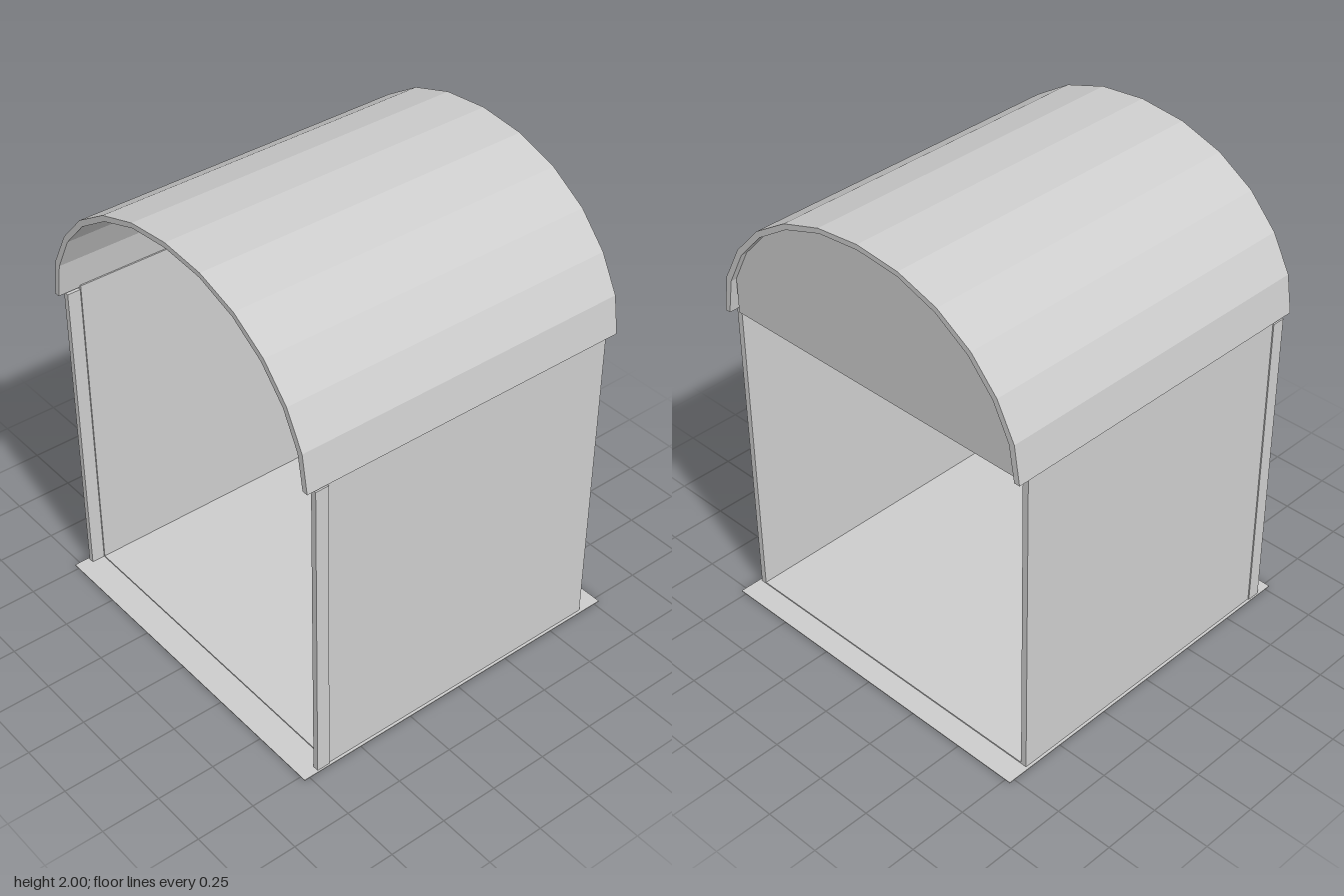
import * as THREE from 'three';

export function createModel() {
  const group = new THREE.Group();
  const grey = new THREE.MeshStandardMaterial({ color: 0xcccccc });
  grey.name = 'lightGrey';

  const add = (name, geometry) => {
    const mesh = new THREE.Mesh(geometry, grey);
    mesh.name = name;
    group.add(mesh);
    return mesh;
  };
  // Box given by its extents along each axis
  const box = (name, [x0, x1], [y0, y1], [z0, z1]) =>
    add(name, new THREE.BoxGeometry(x1 - x0, y1 - y0, z1 - z0))
      .position.set((x0 + x1) / 2, (y0 + y1) / 2, (z0 + z1) / 2);
  // Outline in the front plane, extruded from z0 to z1
  const slab = (name, points, z0, z1) => {
    const shape = new THREE.Shape(points.map(([x, y]) => new THREE.Vector2(x, y)));
    const geometry = new THREE.ExtrudeGeometry(shape, { depth: z1 - z0, bevelEnabled: false });
    add(name, geometry.translate(0, 0, z0));
  };
  // Complete a right half (listed bottom to top) with its mirror image
  const mirror = (half) => [
    ...half,
    ...half.filter(([x]) => x > 0).reverse().map(([x, y]) => [-x, y]),
  ];

  // Thin base sheet and raised floor
  box('baseSheet', [-0.775, 0.775], [0, 0.004], [-0.775, 0.775]);
  box('floor', [-0.74, 0.74], [0.004, 0.01], [-0.675, 0.65]);

  // Side walls with a post at the front edge
  for (const s of [1, -1]) {
    const span = (a, b) => (s > 0 ? [a, b] : [-b, -a]);
    const side = s > 0 ? 'left' : 'right';
    box(side + 'Wall', span(0.737, 0.763), [0, 1.39], [-0.675, 0.65]);
    box(side + 'FrontPost', span(0.743, 0.768), [0, 1.37], [0.65, 0.707]);
  }

  // Faceted barrel roof
  const outer = mirror([[0.77, 1.38], [0.745, 1.54], [0.665, 1.69], [0.545, 1.82],
    [0.385, 1.92], [0.2, 1.98], [0, 2]]);
  const inner = mirror([[0.745, 1.38], [0.72, 1.53], [0.645, 1.675], [0.53, 1.8],
    [0.377, 1.898], [0.196, 1.96], [0, 1.978]]);
  slab('roof', [...outer, ...inner.reverse()], -0.725, 0.745);

  // Gable panel closing the back of the roof
  slab('backGable', mirror([[0.72, 1.38], [0.72, 1.53], [0.645, 1.675], [0.53, 1.8],
    [0.377, 1.898], [0.196, 1.96], [0, 1.978]]), -0.7, -0.676);

  return group;
}
